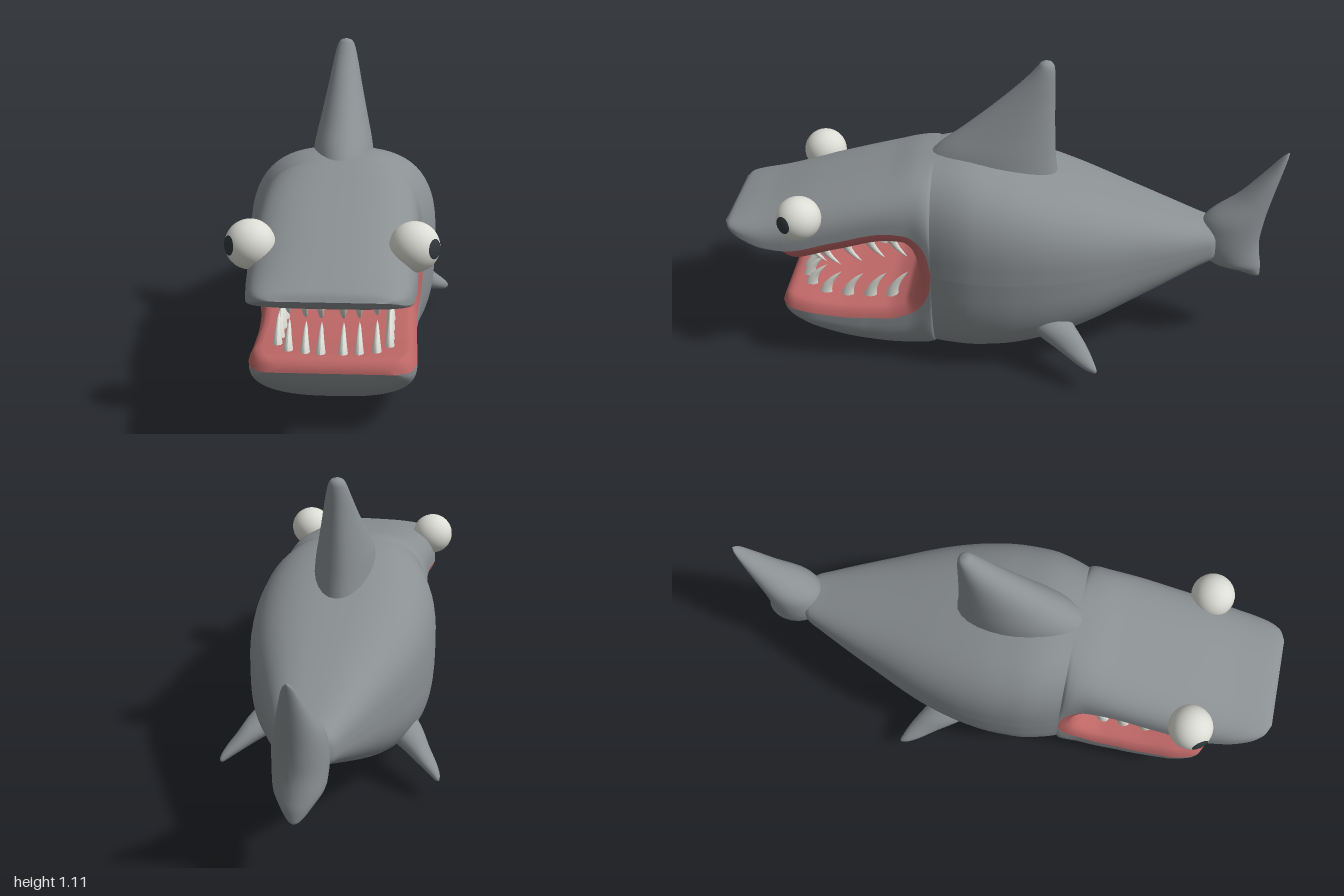
import * as THREE from 'three';
import { mergeVertices } from 'three/addons/utils/BufferGeometryUtils.js';

const mat = (color, side = THREE.FrontSide) => new THREE.MeshStandardMaterial({ color, side });
const SKIN = mat(0x8b9093), GUM = mat(0xbd6766, THREE.DoubleSide);
const WHITE = mat(0xdcddd5), DARK = mat(0x30383c);

// Smooth, non-overshooting curve through ascending [t, value] pairs.
function curve(...keys) {
  const sec = keys.slice(1).map((k, i) => (k[1] - keys[i][1]) / (k[0] - keys[i][0]));
  const slope = keys.map((_, i) => {
    const a = sec[i - 1] ?? sec[i], b = sec[i] ?? a;
    return a * b > 0 ? (2 * a * b) / (a + b) : 0;
  });
  return (t) => {
    let i = 0;
    while (i < keys.length - 2 && t > keys[i + 1][0]) i++;
    const h = keys[i + 1][0] - keys[i][0];
    const s = Math.min(1, Math.max(0, (t - keys[i][0]) / h)), s2 = s * s, s3 = s2 * s;
    return keys[i][1] * (2 * s3 - 3 * s2 + 1) + keys[i + 1][1] * (3 * s2 - 2 * s3)
      + h * (slope[i] * (s3 - 2 * s2 + s) + slope[i + 1] * (s3 - s2));
  };
}

// Skin a list of equally long rows of [x, y, z] points.
function skin(name, rows, material) {
  const n = rows[0].length, index = [];
  for (let i = 0; i < rows.length - 1; i++) {
    for (let j = 0; j < n - 1; j++) {
      const a = i * n + j, b = a + 1, c = a + n, d = c + 1;
      index.push(a, b, c, b, d, c);
    }
  }
  let geo = new THREE.BufferGeometry();
  geo.setAttribute('position', new THREE.Float32BufferAttribute(rows.flat(2), 3));
  geo.setIndex(index);
  geo = mergeVertices(geo, 1e-5);
  geo.computeVertexNormals();
  const mesh = new THREE.Mesh(geo, material);
  mesh.name = name;
  return mesh;
}

// Side profiles, all as functions of z.
const MOUTH = 0.25, LIP = 0.78, CHIN = 0.81;
const top = curve([-0.8, 0.42], [-0.76, 0.485], [-0.7, 0.505], [-0.5, 0.575], [-0.17, 0.69], [0, 0.74], [0.15, 0.765],
  [0.3, 0.75], [0.42, 0.715], [0.55, 0.68], [0.7, 0.638], [0.85, 0.59], [0.95, 0.562], [0.985, 0.548], [1, 0.527]);
const belly = curve([-0.8, 0.42], [-0.76, 0.36], [-0.7, 0.33], [-0.5, 0.22], [-0.3, 0.115], [-0.15, 0.055], [0, 0.018],
  [0.15, 0.003], [0.28, 0], [0.42, 0.008], [0.55, 0.032], [0.68, 0.08], [0.75, 0.125], [0.79, 0.17], [CHIN, 0.217]);
const width = curve([-0.8, 0], [-0.76, 0.085], [-0.7, 0.115], [-0.5, 0.2], [-0.25, 0.295], [-0.1, 0.327], [0, 0.335],
  [0.1, 0.331], [0.2, 0.308], [0.27, 0.283], [0.34, 0.27], [0.7, 0.267], [0.85, 0.254], [0.93, 0.235], [0.98, 0.205], [1, 0.165]);
const jawWidth = curve([0.34, 0.27], [0.68, 0.27], [0.76, 0.256], [0.79, 0.238], [CHIN, 0.2]);
const lowWidth = (z) => (z < 0.5 ? width(z) : jawWidth(z));
const flank = curve([-0.8, 0.42], [-0.3, 0.4], [MOUTH, 0.4]);
const upperLip = curve([MOUTH, 0.4], [0.26, 0.465], [0.29, 0.523], [0.34, 0.552], [0.4, 0.557], [0.6, 0.512],
  [LIP, 0.468], [0.85, 0.474], [0.93, 0.497], [1, 0.527]);
const lowerLip = curve([MOUTH, 0.4], [0.256, 0.34], [0.28, 0.275], [0.33, 0.223], [0.42, 0.195], [0.55, 0.193],
  [0.7, 0.208], [CHIN, 0.217]);
const snoutDepth = curve([LIP, 0], [0.81, 0.012], [0.87, 0.02], [0.95, 0.016], [1, 0]);

const range = (n, f) => Array.from({ length: n + 1 }, (_, i) => f(i / n));
const ease = (a, b) => (s) => a + (b - a) * (1 - Math.cos(Math.PI * s)) / 2;
const backZ = [...range(6, (s) => -0.8 + 0.06 * s), ...range(34, (s) => -0.74 + 0.99 * s).slice(1)];
const upperZ = range(44, ease(MOUTH, LIP)), lowerZ = range(44, ease(MOUTH, CHIN));
const noseZ = range(18, (s) => LIP + 0.22 * Math.sin(s * Math.PI / 2));

// Half of a boxy oval; positive height arches up, negative arches down.
function arch(z, w, y, h) {
  const p = 2 / 2.8;
  return range(32, (s) => {
    const a = Math.PI * s, c = Math.cos(a);
    const x = w * Math.sign(c) * Math.abs(c) ** p;
    return [h < 0 ? -x : x, y + h * Math.max(0, Math.sin(a)) ** p, z];
  });
}

function buildBody() {
  const g = new THREE.Group();
  g.name = 'body';
  const upY = (z) => (z < MOUTH ? flank(z) : upperLip(z));
  const loY = (z) => (z < MOUTH ? flank(z) : lowerLip(z));
  const upRows = [...backZ, ...upperZ.slice(1), ...noseZ.slice(1)]
    .map((z) => arch(z, width(z), upY(z), Math.max(0, top(z) - upY(z))));
  const lowRows = [...backZ, ...lowerZ.slice(1)]
    .map((z) => arch(z, lowWidth(z), loY(z), Math.min(-1e-6, belly(z) - loY(z))));
  const noseRows = noseZ.map((z) => arch(z, width(z), upperLip(z), -Math.max(1e-6, snoutDepth(z))));
  g.add(skin('backAndUpperJaw', upRows, SKIN), skin('bellyAndLowerJaw', lowRows, SKIN), skin('snoutUnderside', noseRows, SKIN));
  return g;
}

// Gum lining swept along the C-shaped mouth edge, with a rounded lip on both sides.
function buildMouth() {
  const path = [
    ...upperZ.slice().reverse().map((z) => [z, upperLip(z), width(z), LIP - z]),
    ...lowerZ.slice(1).map((z) => [z, lowerLip(z), lowWidth(z), CHIN - z]),
  ];
  const section = [[0, 0], [0.004, 0.3], [0.012, 0.65], [0.024, 0.9], [0.042, 1], [0.14, 1]];
  const rows = path.map(([z, y, w, toEnd], i) => {
    const a = path[Math.max(0, i - 1)], b = path[Math.min(path.length - 1, i + 1)];
    const tz = b[0] - a[0], ty = b[1] - a[1], len = Math.hypot(tz, ty);
    const e = Math.min(1, toEnd / 0.045), depth = 0.045 * Math.sqrt(e * (2 - e));
    const half = section.map(([inset, d]) => [w - inset, y + depth * d * tz / len, z - depth * d * ty / len]);
    return [...half, ...half.slice().reverse().map(([x, py, pz]) => [-x, py, pz])];
  });
  return skin('mouthLining', rows, GUM);
}

// Curved teeth in a U-shaped row; dir is +1 for lower and -1 for upper.
function buildTeeth(name, dir, lip) {
  const g = new THREE.Group();
  g.name = name;
  const spots = [[0.18, 0.41], [0.18, 0.49], [0.18, 0.575], [0.18, 0.655], [0.14, 0.715], [0.085, 0.735], [0.035, 0.742]];
  for (const [x, z] of spots) {
    const h = 0.113 - (z - 0.41) * 0.07, geo = new THREE.ConeGeometry(1, 1, 14, 6);
    const p = geo.attributes.position;
    for (let i = 0; i < p.count; i++) {
      const t = p.getY(i) + 0.5, r = Math.sqrt(1 - t) * (1 - 0.25 * t);
      const k = t < 1 ? r / (1 - t) : 0;
      p.setXYZ(i, p.getX(i) * k * 0.017, t * h, p.getZ(i) * k * 0.025 - 0.065 * t * t);
    }
    if (dir < 0) geo.rotateZ(Math.PI);
    geo.computeVertexNormals();
    for (const side of [1, -1]) {
      const tooth = new THREE.Mesh(geo, WHITE);
      tooth.name = 'tooth';
      tooth.position.set(side * x, lip(z) + dir * 0.036, z);
      g.add(tooth);
    }
  }
  return g;
}

// Oval rings given as { c: centre, u, v: half axes }, resampled by the caller.
const loft = (name, rings) => skin(name, rings.map(({ c, u, v }) => range(28, (s) => {
  const a = s * Math.PI * 2, cos = Math.cos(a), sin = Math.sin(a);
  return [0, 1, 2].map((k) => c[k] + u[k] * cos + v[k] * sin);
})), SKIN);

// Upright fin from [y, front z, back z, half thickness] levels.
function uprightFin(name, levels) {
  const [front, back, thick] = [1, 2, 3].map((k) => curve(...levels.map((l) => [l[0], l[k]])));
  const y0 = levels[0][0], y1 = levels[levels.length - 1][0];
  return loft(name, range(40, ease(y0, y1)).map((y) => ({
    c: [0, y, (front(y) + back(y)) / 2], u: [0, 0, (front(y) - back(y)) / 2], v: [thick(y), 0, 0],
  })));
}

function sideFin(name, side) {
  const keys = [[0, 0.22, 0.2, -0.14, 0.1, 0.06], [0.35, 0.29, 0.165, -0.21, 0.078, 0.045], [0.6, 0.335, 0.132, -0.265, 0.054, 0.03],
    [0.85, 0.377, 0.1, -0.312, 0.03, 0.018], [0.96, 0.392, 0.086, -0.333, 0.015, 0.01], [1, 0.397, 0.081, -0.341, 0, 0]];
  const [x, y, z, chord, thick] = [1, 2, 3, 4, 5].map((k) => curve(...keys.map((q) => [q[0], q[k]])));
  return loft(name, range(24, (t) => ({
    c: [side * x(t), y(t), z(t)], u: [0, 0, chord(t)], v: [-0.6 * thick(t), -0.8 * side * thick(t), 0],
  })));
}

function buildEye(name, side) {
  const g = new THREE.Group(), r = 0.079;
  g.name = name;
  const ball = new THREE.Mesh(new THREE.SphereGeometry(r, 32, 24), WHITE);
  ball.name = 'eyeball';
  const pupil = new THREE.Mesh(new THREE.SphereGeometry(r * 1.015, 24, 8, 0, Math.PI * 2, 0, 0.4), DARK);
  pupil.name = 'pupil';
  pupil.quaternion.setFromUnitVectors(new THREE.Vector3(0, 1, 0), new THREE.Vector3(side * 0.82, 0.1, 0.56).normalize());
  g.add(ball, pupil);
  g.position.set(side * 0.254, 0.603, 0.71);
  return g;
}

export function createModel() {
  const model = new THREE.Group();
  model.name = 'shark';
  model.add(buildBody(), buildMouth(), buildTeeth('upperTeeth', -1, upperLip), buildTeeth('lowerTeeth', 1, lowerLip));
  model.add(uprightFin('dorsalFin', [[0.64, 0.36, -0.19, 0.12], [0.77, 0.25, -0.176, 0.102], [0.85, 0.15, -0.173, 0.084],
    [0.95, 0.032, -0.171, 0.062], [1.05, -0.073, -0.17, 0.041], [1.09, -0.107, -0.167, 0.03], [1.105, -0.119, -0.158, 0.02], [1.112, -0.135, -0.14, 0]]));
  model.add(uprightFin('tailFin', [[0.262, -0.936, -0.941, 0], [0.27, -0.918, -0.946, 0.018], [0.31, -0.835, -0.945, 0.055],
    [0.35, -0.73, -0.938, 0.085], [0.42, -0.7, -0.93, 0.09], [0.5, -0.72, -0.938, 0.085], [0.6, -0.835, -0.958, 0.06],
    [0.7, -0.925, -0.982, 0.035], [0.765, -0.978, -0.997, 0.015], [0.782, -0.994, -1, 0]]));
  for (const [label, side] of [['left', 1], ['right', -1]]) {
    model.add(sideFin(label + 'SideFin', side), buildEye(label + 'Eye', side));
  }
  return model;
}
